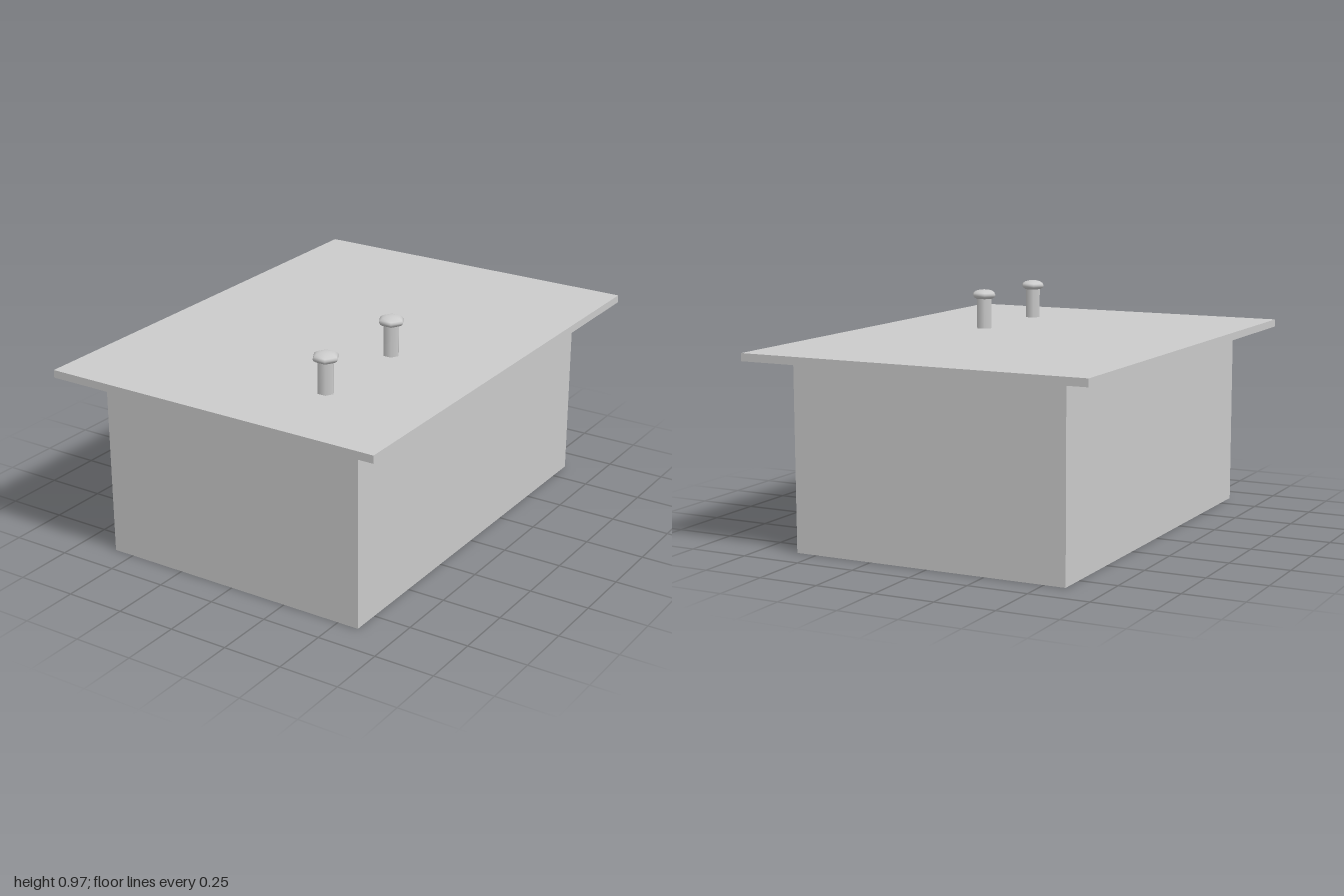
import * as THREE from 'three';

export function createModel() {
  const model = new THREE.Group();
  const solid = new THREE.MeshStandardMaterial({ color: 0xcccccc });
  const thin = new THREE.MeshStandardMaterial({ color: 0xcccccc, side: THREE.DoubleSide });

  const add = (name, geometry, material, x, y, z, parent = model) => {
    const mesh = new THREE.Mesh(geometry, material);
    mesh.name = name;
    mesh.position.set(x, y, z);
    parent.add(mesh);
    return mesh;
  };

  const W = 0.59, D = 0.866, H = 0.776, lidTop = 0.808;

  // Thin-walled body, open at the bottom
  for (const s of [1, -1]) {
    const end = add(s > 0 ? 'frontWall' : 'backWall', new THREE.PlaneGeometry(2 * W, H), thin, 0, H / 2, s * D);
    end.rotation.y = s > 0 ? 0 : Math.PI;
    const side = add(s > 0 ? 'leftWall' : 'rightWall', new THREE.PlaneGeometry(2 * D, H), thin, s * W, H / 2, 0);
    side.rotation.y = s * Math.PI / 2;
  }

  // Slim panel set just behind the left wall
  add('sidePanel', new THREE.BoxGeometry(0.008, 0.175, 0.84), solid, W - 0.005, 0.45, 0.02);

  // Overhanging lid
  add('lid', new THREE.BoxGeometry(1.48, lidTop - H, 2), solid, 0, (lidTop + H) / 2, 0);

  // Two six-sided knobs: a shaft with a flattened round cap
  const shaft = new THREE.CylinderGeometry(0.035, 0.035, 0.14, 6, 1, false, Math.PI / 2);
  const cap = new THREE.SphereGeometry(0.055, 6, 8).scale(1, 0.41, 1);
  for (const [name, z] of [['frontKnob', 0.61], ['middleKnob', 0.14]]) {
    const knob = new THREE.Group();
    knob.name = name;
    knob.position.set(0.28, lidTop, z);
    add('knobShaft', shaft, solid, 0, 0.07, 0, knob);
    add('knobCap', cap, solid, 0, 0.144, 0, knob);
    model.add(knob);
  }

  return model;
}
